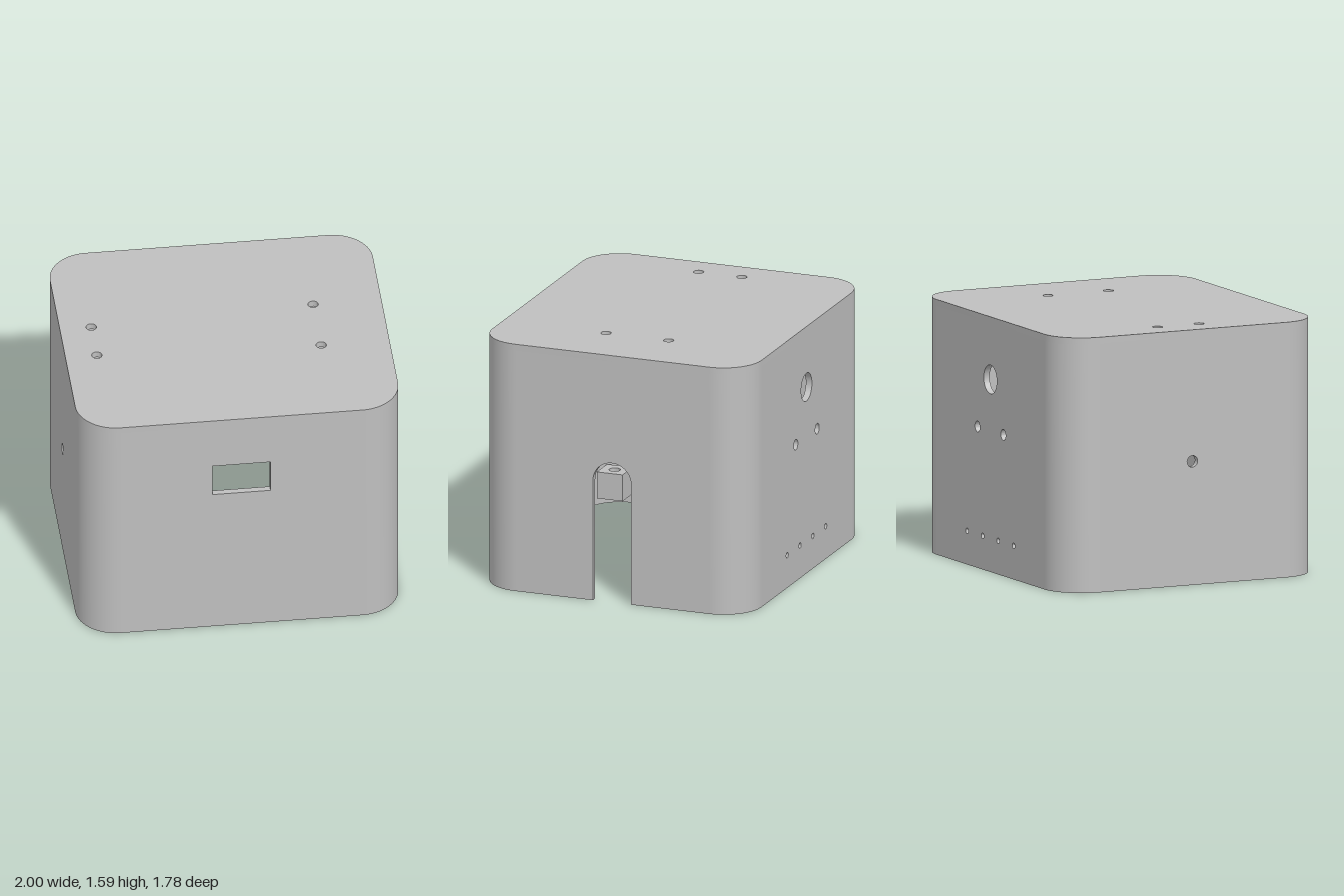
import * as THREE from 'three';
import { toCreasedNormals } from 'three/addons/utils/BufferGeometryUtils.js';

const HX = 1, HZ = 0.89, H = 1.59; // half width, half depth, height
const R = 0.25, T = 0.04; // corner radius, wall thickness

const circle = (x, y, r) => new THREE.Path().absarc(x, y, r, 0, Math.PI * 2, true);

const rect = (x0, y0, x1, y1) => new THREE.Shape([
  new THREE.Vector2(x0, y0), new THREE.Vector2(x1, y0),
  new THREE.Vector2(x1, y1), new THREE.Vector2(x0, y1),
]);

function extrude(shape, depth) {
  const geo = new THREE.ExtrudeGeometry(shape, { depth, bevelEnabled: false, curveSegments: 20 });
  return toCreasedNormals(geo, 0.5);
}

export function createModel() {
  const model = new THREE.Group();
  model.name = 'enclosure';
  const grey = new THREE.MeshStandardMaterial({ color: 0xbfbfbf });
  grey.name = 'grey plastic';

  const add = (name, geo) => {
    const mesh = new THREE.Mesh(geo, grey);
    mesh.name = name;
    model.add(mesh);
    return mesh;
  };
  // Flat wall drawn in its own plane, then turned to its side
  const addWall = (name, shape, dist, turn) =>
    add(name, extrude(shape, T).translate(0, 0, dist - T).rotateY(turn));
  // Horizontal outline raised upwards
  const upright = (shape, height) => extrude(shape, height).rotateX(-Math.PI / 2);

  const wallH = H - T, wx = HX - R, wz = HZ - R;

  // Front wall with rectangular window
  const front = rect(-wx, 0, wx, wallH);
  front.holes.push(rect(-0.18, 1.02, 0.18, 1.24));
  addWall('frontWall', front, HZ, 0);

  // Back wall with a large port, two screw holes and a row of pin holes
  const back = rect(-wx, 0, wx, wallH);
  back.holes.push(circle(0, 1.2, 0.09));
  for (const x of [-0.178, 0.178]) back.holes.push(circle(x, 0.88, 0.034));
  for (let i = 0; i < 4; i++) back.holes.push(circle((i - 1.5) * 0.214, 0.21, 0.018));
  addWall('backWall', back, HZ, Math.PI);

  // Left wall with an arched slot open at the bottom
  const slotW = 0.127, slotY = 0.77;
  const left = new THREE.Shape();
  left.moveTo(-wz, 0);
  left.lineTo(-slotW, 0);
  left.lineTo(-slotW, slotY);
  left.absarc(0, slotY, slotW, Math.PI, 0, true);
  left.lineTo(slotW, 0);
  left.lineTo(wz, 0);
  left.lineTo(wz, wallH);
  left.lineTo(-wz, wallH);
  addWall('leftWall', left, HX, Math.PI / 2);

  // Right wall with one round hole
  const right = rect(-wz, 0, wz, wallH);
  right.holes.push(circle(0, 0.77, 0.036));
  addWall('rightWall', right, HX, -Math.PI / 2);

  // Rounded vertical corners
  [[1, 1], [-1, 1], [-1, -1], [1, -1]].forEach(([sx, sy], i) => {
    const a = i * Math.PI / 2;
    const arc = new THREE.Shape();
    arc.absarc(sx * wx, sy * wz, R, a, a + Math.PI / 2, false);
    arc.absarc(sx * wx, sy * wz, R - T, a + Math.PI / 2, a, true);
    add('cornerWall', upright(arc, wallH));
  });

  // Top plate with four screw holes
  const top = new THREE.Shape();
  top.absarc(wx, wz, R, 0, Math.PI / 2, false);
  top.absarc(-wx, wz, R, Math.PI / 2, Math.PI, false);
  top.absarc(-wx, -wz, R, Math.PI, Math.PI * 1.5, false);
  top.absarc(wx, -wz, R, Math.PI * 1.5, Math.PI * 2, false);
  for (const s of [-1, 1]) {
    top.holes.push(circle(-0.805, s * 0.143, 0.032));
    top.holes.push(circle(0.577, s * 0.207, 0.032));
  }
  add('topPlate', upright(top, T)).position.y = wallH;

  // Screw blocks in the lower inside corners
  for (const sx of [-1, 1]) for (const sz of [-1, 1]) {
    const block = rect(-0.085, -0.085, 0.085, 0.085);
    block.holes.push(circle(0, 0, 0.035));
    add('screwBlock', upright(block, 0.17)).position.set(sx * 0.81, 0.08, sz * 0.7);
  }

  return model;
}
